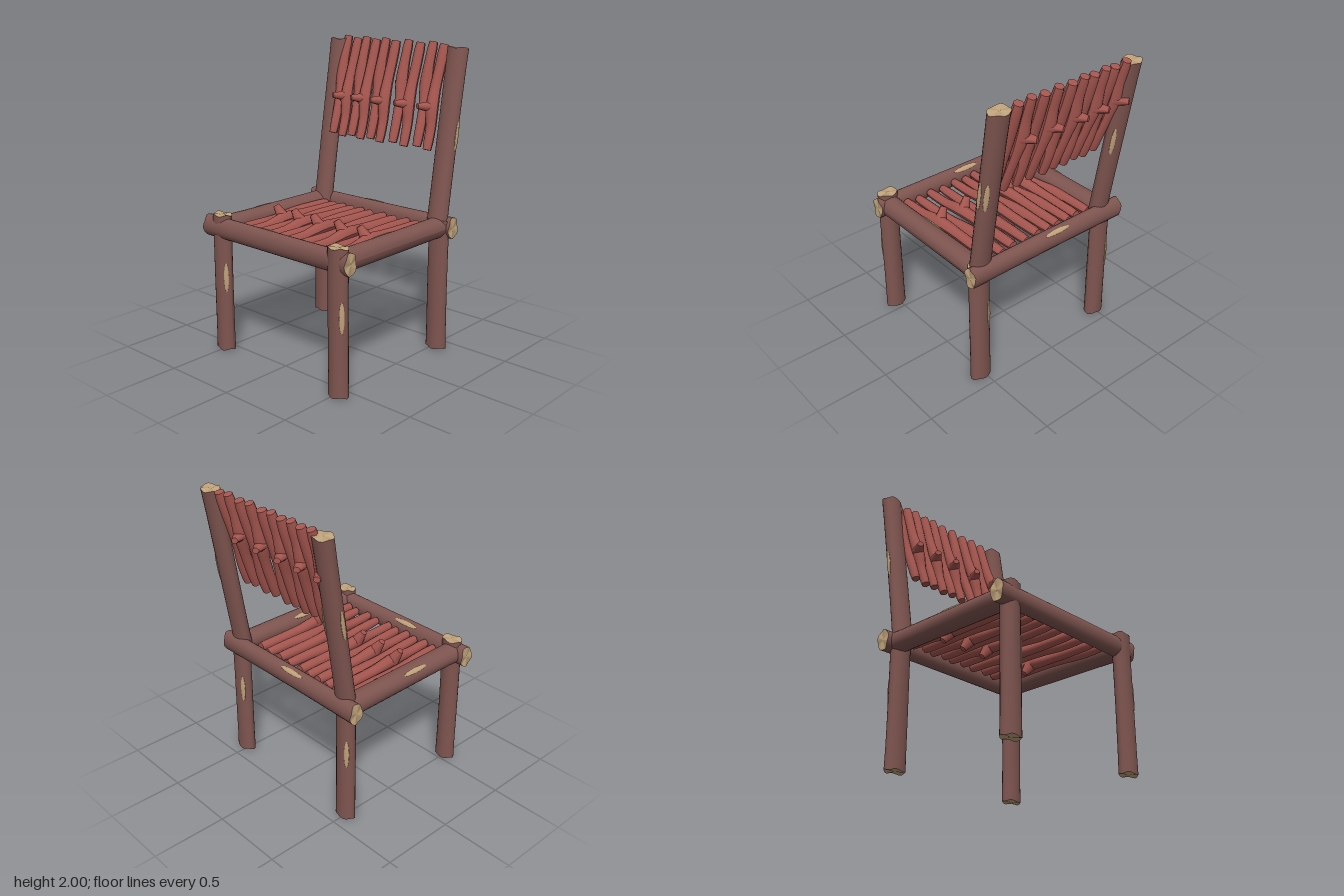
import * as THREE from 'three';

const bark = new THREE.MeshStandardMaterial({ color: 0x7f5550 });
const cutWood = new THREE.MeshStandardMaterial({ color: 0xbfa27a });
const redBark = new THREE.MeshStandardMaterial({ color: 0xa5564f });
const UP = new THREE.Vector3(0, 1, 0);

// Log with an oval section (radii a, b), cut ends and bare patches given as [position 0..1, angle]
function log(name, from, to, a, b, patches = []) {
  const start = new THREE.Vector3(...from);
  const axis = new THREE.Vector3(...to).sub(start);
  const len = axis.length();
  const g = new THREE.Group();
  g.name = name;
  g.position.copy(start);
  g.quaternion.setFromUnitVectors(UP, axis.normalize());

  const geo = new THREE.CylinderGeometry(1, 1, len, 20, 8).translate(0, len / 2, 0);
  const p = geo.attributes.position;
  const phase = from[0] * 7 + from[2] * 5;
  for (let i = 0; i < p.count; i++) {
    const x = p.getX(i), y = p.getY(i), z = p.getZ(i);
    const t = y / len, ang = Math.atan2(z, x);
    const k = 0.98 + 0.02 * Math.sin(3 * ang + t * 4 + phase) + 0.03 * Math.pow(Math.abs(2 * t - 1), 6);
    const rough = t > 0.99 || t < 0.01 ? 0.006 * Math.sin(4 * ang + phase) * Math.hypot(x, z) : 0;
    p.setXYZ(i, x * a * k, y + rough, z * b * k);
  }
  geo.computeVertexNormals();
  const wood = new THREE.Mesh(geo, [bark, cutWood, cutWood]);
  wood.name = name + 'Wood';
  g.add(wood);

  // Long thin scrapes lying on the surface
  for (const [t, ang] of patches) {
    const m = new THREE.Mesh(new THREE.SphereGeometry(1, 14, 8), cutWood);
    m.name = 'barePatch';
    m.scale.set(0.006, 0.1, 0.016);
    m.position.set(a * 0.98 * Math.cos(ang), t * len, b * 0.98 * Math.sin(ang));
    m.rotation.y = -Math.atan2(Math.sin(ang) / b, Math.cos(ang) / a);
    g.add(m);
  }
  return g;
}

// Bent stick growing along +y from the origin, with a knot; -x is its upper side
const STICK = 0.84;
function stick(kind) {
  const bend = kind === 'A'
    ? [[0, 0.033, 0.031], [0.006, 0.027, 0.033], [0.012, 0.015, 0.034], [0.01, 0, 0.042], [0, 0, 0.034], [0, 0, 0.032]]
    : [[0, 0.028, 0.031], [0.004, 0.022, 0.033], [-0.012, 0.01, 0.042], [-0.004, 0, 0.036], [0, 0, 0.035], [0, 0, 0.034]];
  const curve = new THREE.CatmullRomCurve3(bend.map(b => new THREE.Vector3(...b)));
  const geo = new THREE.CylinderGeometry(1, 1, STICK, 10, 14).translate(0, STICK / 2, 0);
  const p = geo.attributes.position;
  for (let i = 0; i < p.count; i++) {
    const t = p.getY(i) / STICK, c = curve.getPoint(t);
    const r = c.z * (t < 0.01 || t > 0.99 ? 0.88 : 1);
    p.setX(i, c.x + p.getX(i) * r);
    p.setZ(i, c.y + p.getZ(i) * r);
  }
  geo.computeVertexNormals();
  const g = new THREE.Group();
  const body = new THREE.Mesh(geo, redBark);
  body.name = 'stickBody';

  // Stub of a side branch
  const base = kind === 'A' ? new THREE.Vector3(0.01, 0.49, 0) : new THREE.Vector3(-0.01, 0.34, 0.005);
  const tip = kind === 'A' ? new THREE.Vector3(0.085, 0.515, -0.045) : new THREE.Vector3(-0.095, 0.32, -0.045);
  const dir = tip.clone().sub(base);
  const knot = new THREE.Mesh(new THREE.CylinderGeometry(0.022, 0.046, dir.length(), 8), redBark);
  knot.name = 'knot';
  knot.position.copy(base).add(tip).multiplyScalar(0.5);
  knot.quaternion.setFromUnitVectors(UP, dir.normalize());
  g.add(body, knot);
  return g;
}

// Row of ten sticks, the two kinds alternating
function stickRow(name) {
  const row = new THREE.Group();
  row.name = name;
  [-0.43, -0.34, -0.262, -0.175, -0.093, -0.005, 0.1, 0.2, 0.3, 0.39].forEach((z, i) => {
    const s = stick(i % 2 ? 'B' : 'A');
    s.name = name + 'Stick';
    s.position.set(0, i % 2 ? -0.01 : 0.005, z);
    row.add(s);
  });
  return row;
}

export function createModel() {
  const chair = new THREE.Group();
  chair.name = 'logChair';
  const H = Math.PI / 2;

  // Legs
  chair.add(
    log('frontLeg', [-0.577, 0, 0.522], [-0.577, 0.92, 0.522], 0.052, 0.07, [[0.55, 2.2]]),
    log('frontLeg', [-0.56, 0, -0.5], [-0.56, 0.92, -0.5], 0.052, 0.07, [[0.55, 2.2]]),
    log('backLeg', [0.39, 0, 0.525], [0.39, 0.88, 0.525], 0.05, 0.073, [[0.57, -0.65]]),
    log('backLeg', [0.39, 0, -0.495], [0.39, 0.88, -0.495], 0.05, 0.073, [[0.57, -0.7]]));

  // Seat frame
  chair.add(
    log('sideRail', [-0.56, 0.83, 0.525], [0.4, 0.83, 0.525], 0.07, 0.071, [[0.44, Math.PI + 0.75]]),
    log('sideRail', [-0.56, 0.83, -0.517], [0.4, 0.83, -0.517], 0.07, 0.073, [[0.44, Math.PI + 0.75]]),
    log('frontRail', [-0.57, 0.83, -0.62], [-0.57, 0.83, 0.61], 0.05, 0.071, [[0.42, -0.9]]),
    log('backRail', [0.42, 0.83, -0.617], [0.42, 0.83, 0.615], 0.05, 0.071, [[0.45, -0.95]]));

  // Leaning back posts
  chair.add(
    log('backPost', [0.38, 0.83, 0.512], [0.565, 1.965, 0.508], 0.052, 0.073, [[0.52, 0.75], [0.52, H]]),
    log('backPost', [0.38, 0.83, -0.488], [0.565, 1.965, -0.495], 0.052, 0.073, [[0.52, 0.75], [0.52, -H]]));

  // Seat sticks and backrest sticks
  const seat = stickRow('seat');
  seat.rotation.z = -H;
  seat.position.set(-0.5, 0.83, 0);
  const backrest = stickRow('backrest');
  backrest.rotation.z = -0.298;
  backrest.scale.y = 0.815;
  backrest.position.set(0.385, 1.33, 0);
  chair.add(seat, backrest);
  return chair;
}
